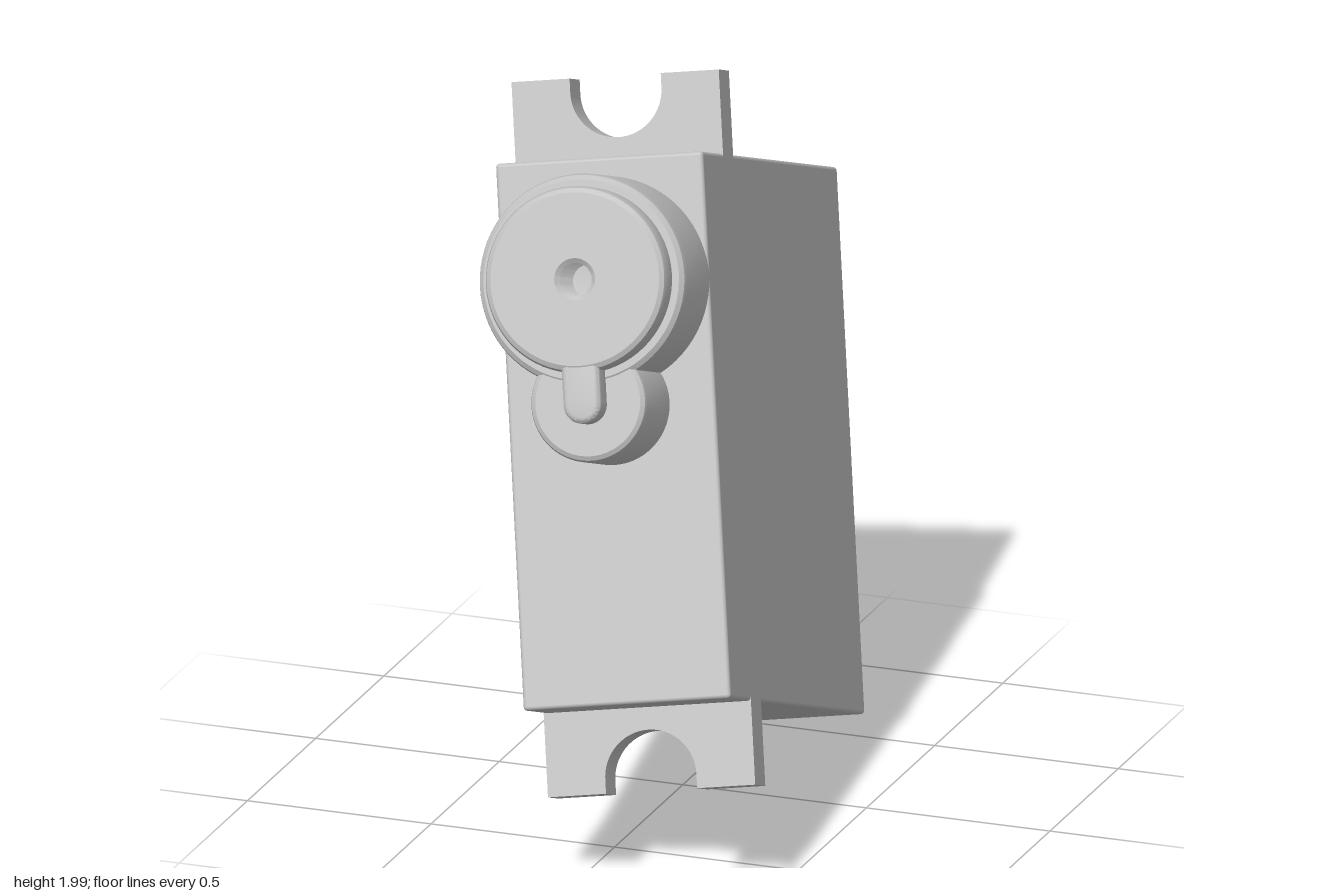
import * as THREE from 'three';
import { toCreasedNormals } from 'three/addons/utils/BufferGeometryUtils.js';
import { RoundedBoxGeometry } from 'three/addons/geometries/RoundedBoxGeometry.js';

const W = 0.273, L = 0.70, D = 0.715; // half sizes of the case

export function createModel() {
  const grey = new THREE.MeshStandardMaterial({ color: 0xc0c0c0 });
  grey.name = 'plainGrey';
  const servo = new THREE.Group();
  servo.name = 'servoMotor';

  const add = (name, geometry, x = 0, y = 0, z = 0) => {
    const mesh = new THREE.Mesh(geometry, grey);
    mesh.name = name;
    mesh.position.set(x, y, z);
    servo.add(mesh);
    return mesh;
  };

  // Turned part with its axis along z, from [radius, z] pairs
  const turned = (pairs, segments = 72) => {
    const g = new THREE.LatheGeometry(pairs.map(([r, z]) => new THREE.Vector2(r, z)), segments);
    return toCreasedNormals(g.rotateX(Math.PI / 2), 0.5);
  };

  // Extruded plate with its back face at z = 0
  const plate = (shape, depth, bevel = 0) => toCreasedNormals(new THREE.ExtrudeGeometry(shape, {
    depth: depth - bevel, curveSegments: 24, bevelEnabled: bevel > 0,
    bevelSize: bevel, bevelOffset: -bevel, bevelThickness: bevel, bevelSegments: 3,
  }), 0.6);

  // Case
  add('case', new RoundedBoxGeometry(2 * W, 2 * L, 2 * D, 3, 0.01));

  // Gear tower with stepped cap and a threaded screw hole
  const tower = [
    [0.273, 0.70], [0.273, 0.945], [0.269, 0.960], [0.257, 0.970],
    [0.239, 0.970], [0.239, 1.018], [0.234, 1.032], [0.222, 1.039], [0.054, 1.039],
  ];
  for (let i = 0; i < 8; i++) {
    tower.push([0.042, 1.029 - i * 0.02], [0.052, 1.019 - i * 0.02]);
  }
  tower.push([0, 0.875]);
  add('gearTower', turned(tower), 0, 0.379, 0);

  // Smaller idler gear housing below it
  add('idlerHousing', turned([
    [0.153, 0.70], [0.153, 0.948], [0.149, 0.960], [0.138, 0.967], [0, 0.967],
  ]), 0, 0.066, 0);

  // Rounded pointer running from the cap over the idler housing
  const key = new THREE.Shape();
  key.moveTo(0.05, 0.20);
  key.lineTo(-0.05, 0.20);
  key.lineTo(-0.05, 0.06);
  key.absarc(0, 0.06, 0.05, Math.PI, 2 * Math.PI, false);
  key.closePath();
  add('pointer', plate(key, 0.077, 0.014), 0, 0, 0.96);

  // Mounting ears with open screw slots
  const ear = new THREE.Shape();
  const inner = L - 0.02, outer = 0.915, slot = 0.12;
  ear.moveTo(-W, inner);
  ear.lineTo(W, inner);
  ear.lineTo(W, outer);
  ear.lineTo(slot, outer);
  ear.lineTo(slot, 0.878);
  ear.absarc(0, 0.878, slot, 0, Math.PI, true);
  ear.lineTo(-slot, outer);
  ear.lineTo(-W, outer);
  ear.closePath();
  const earGeometry = plate(ear, 0.107);
  add('upperMountingEar', earGeometry, 0, 0, 0.39);
  const lower = add('lowerMountingEar', earGeometry, 0, 0, 0.39);
  lower.rotation.z = Math.PI;

  // Tilted resting pose
  const right = new THREE.Vector3(0.98, 0.137, -0.146).normalize();
  const up = new THREE.Vector3(-0.179, 0.925, -0.337);
  const front = new THREE.Vector3().crossVectors(right, up).normalize();
  up.crossVectors(front, right);
  servo.quaternion.setFromRotationMatrix(new THREE.Matrix4().makeBasis(right, up, front));
  servo.position.set(-0.01, 0.94, -0.008);

  const model = new THREE.Group();
  model.name = 'model';
  model.add(servo);
  return model;
}
